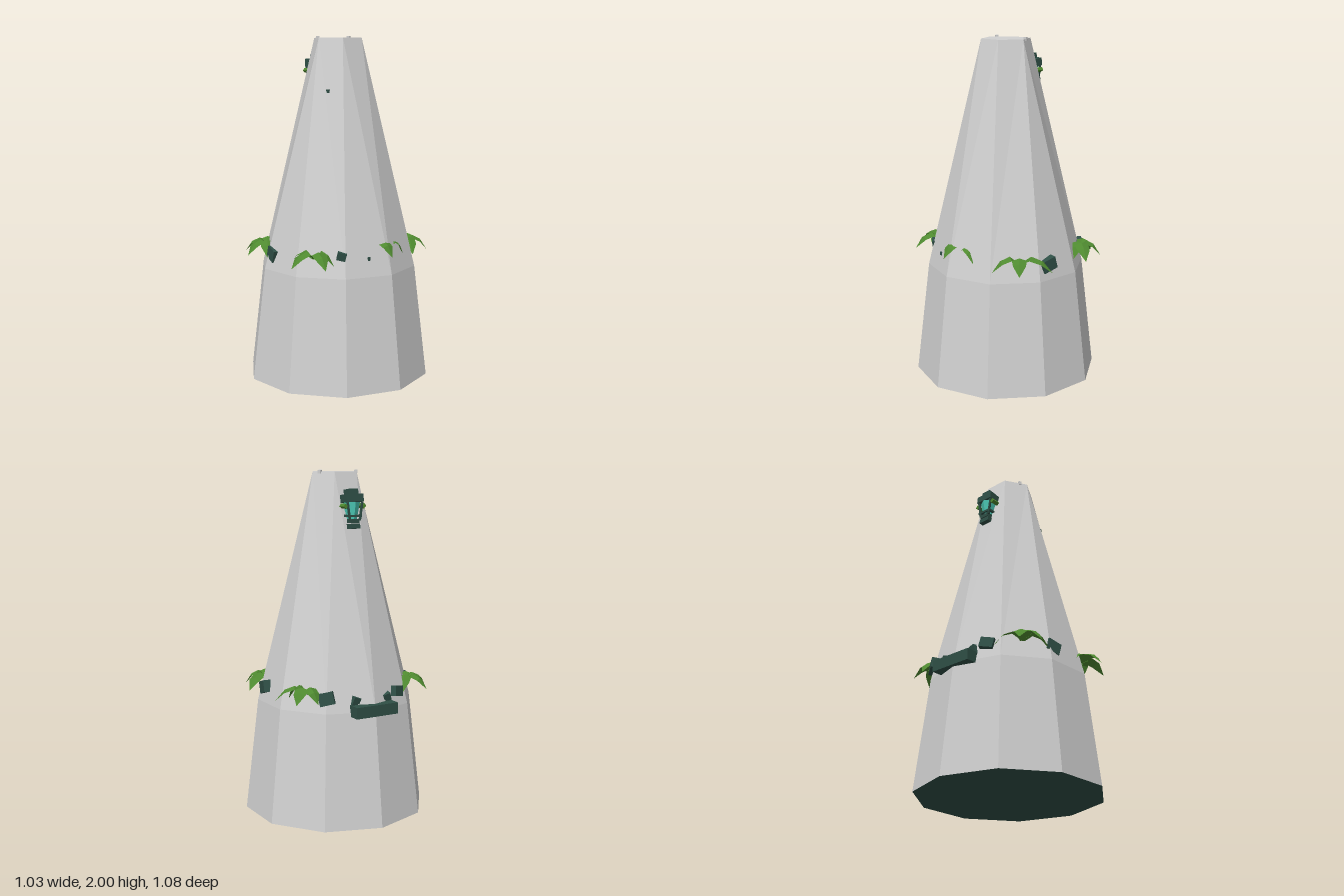
import * as THREE from 'three';

const mat = (name, color, side = THREE.FrontSide) => {
  const m = new THREE.MeshStandardMaterial({ color, flatShading: true, side });
  m.name = name;
  return m;
};

export function createModel() {
  const root = new THREE.Group();
  const stone = mat('pale stone', 0xd0d0d0);
  const dark = mat('dark green metal', 0x2f4f46);
  const glow = mat('teal glass', 0x4fd0bc);
  const leafMat = mat('leaf green', 0x4f8a30, THREE.DoubleSide);

  const add = (name, geo, material, pos = [0, 0, 0], rot = [0, 0, 0], parent = root) => {
    const m = new THREE.Mesh(geo, material);
    m.name = name;
    m.position.set(...pos);
    m.rotation.set(...rot);
    parent.add(m);
    return m;
  };
  const trisToGeo = (tris) => {
    const g = new THREE.BufferGeometry();
    g.setAttribute('position', new THREE.Float32BufferAttribute(tris.flatMap((v) => v.toArray()), 3));
    g.computeVertexNormals();
    return g;
  };
  const ring = (n, r, y, start) => Array.from({ length: n }, (_, i) => {
    const a = start + (i / n) * Math.PI * 2;
    return new THREE.Vector3(Math.sin(a) * r, y, Math.cos(a) * r);
  });

  // Tower: ten-sided lower wall narrowing to a six-sided top
  const foot = ring(10, 0.541, 0, 0);
  const waist = ring(10, 0.463, 0.66, 0);
  const crown = ring(6, 0.145, 1.99, Math.PI / 6);
  const lower = [], upper = [], lid = [], under = [];
  const apex = [0, 1, 1, 1, 2];
  for (let i = 0; i < 10; i++) {
    const j = (i + 1) % 10;
    const h = apex[i % 5] + (i >= 5 ? 3 : 0);
    lower.push(foot[i], foot[j], waist[j], foot[i], waist[j], waist[i]);
    upper.push(waist[i], waist[j], crown[h]);
    under.push(new THREE.Vector3(), foot[j], foot[i]);
  }
  [[0, 5, 0], [1, 0, 1], [4, 1, 2], [5, 2, 3], [6, 3, 4], [9, 4, 5]].forEach(([d, a, b]) =>
    upper.push(waist[d], crown[b], crown[a]));
  for (let i = 0; i < 6; i++) lid.push(new THREE.Vector3(0, 1.99, 0), crown[i], crown[(i + 1) % 6]);
  add('lowerWall', trisToGeo(lower), stone);
  add('upperWall', trisToGeo(upper), stone);
  add('topCap', trisToGeo(lid), stone);
  add('underside', trisToGeo(under), dark);
  for (const s of [-1, 1]) {
    add('topChip', new THREE.BoxGeometry(0.018, 0.02, 0.018), stone, [s * 0.12, 1.99, -0.04], [0, s * 0.6, 0]);
  }

  // Drooping folded leaves, from a base on the wall to a tip
  const rows = [[0, 0.765, 0.012], [0.35, 0.812, 0.042], [0.68, 0.79, 0.036], [1, 0.725, 0]];
  const leaf = (bx, bz, tx, tz, lift = 0, width = 1) => {
    const dir = new THREE.Vector2(tx - bx, tz - bz);
    const n = new THREE.Vector2(dir.y, -dir.x).normalize();
    const sec = rows.map(([t, y, w]) => [-1, 0, 1].map((s) => new THREE.Vector3(
      bx + dir.x * t + n.x * w * s * width, y + lift - Math.abs(s) * w * 0.35, bz + dir.y * t + n.y * w * s * width)));
    const tris = [];
    for (let i = 0; i < 3; i++) for (let k = 0; k < 2; k++) {
      const [a, b, c, d] = [sec[i][k], sec[i][k + 1], sec[i + 1][k + 1], sec[i + 1][k]];
      tris.push(a, b, c);
      if (i < 2) tris.push(a, c, d);
    }
    // Wind so that the upper face is the front
    const up = new THREE.Vector3().crossVectors(
      tris[1].clone().sub(tris[0]), tris[2].clone().sub(tris[0])).y;
    if (up < 0) for (let i = 0; i < tris.length; i += 3) [tris[i + 1], tris[i + 2]] = [tris[i + 2], tris[i + 1]];
    add('leaf', trisToGeo(tris), leafMat);
  };
  const clusters = [
    [-0.33, -0.26, [-0.41, -0.375], [-0.475, -0.26], [-0.425, -0.14], [-0.23, -0.385]],
    [0.345, -0.27, [0.33, -0.39], [0.445, -0.35], [0.49, -0.18], [0.4, -0.17]],
    [-0.36, 0.21, [-0.52, 0.2], [-0.41, 0.365], [-0.41, 0.07], [-0.3, 0.31]],
    [0.35, 0.22, [0.51, 0.115], [0.445, 0.31], [0.275, 0.36]],
  ];
  for (const [bx, bz, ...tips] of clusters) tips.forEach(([tx, tz]) => leaf(bx, bz, tx, tz));
  leaf(-0.005, 0.36, -0.01, 0.475, 0.04);
  leaf(0.04, 0.38, 0.155, 0.395, 0.03, 0.6);

  // Dark brackets poking out around the wall
  [[-0.185, 0.745, -0.385, 0.08, 0.06], [0.26, 0.745, -0.36, 0.085, 0.07], [-0.405, 0.75, -0.1, 0.085, 0.07],
    [0.425, 0.75, 0.07, 0.09, 0.07], [-0.26, 0.785, 0.325, 0.05, 0.045]].forEach(([x, y, z, w, h], i) =>
    add('bracket', new THREE.BoxGeometry(w, h, 0.05), dark, [x, y, z], [0.15, Math.atan2(x, z), i % 2 ? 0.15 : -0.15]));
  add('wallStud', new THREE.BoxGeometry(0.015, 0.02, 0.02), dark, [-0.12, 0.76, 0.395]);
  add('wallStud', new THREE.BoxGeometry(0.012, 0.02, 0.02), dark, [-0.163, 1.69, 0.1]);

  // Ledge on the back
  add('backLedge', new THREE.BoxGeometry(0.27, 0.065, 0.09), dark, [0.003, 0.672, -0.442]);
  for (const s of [-1, 1]) {
    add('ledgePost', new THREE.BoxGeometry(0.045, 0.06, 0.04), dark, [s * 0.105, 0.72, -0.405], [-0.2, 0, s * 0.3]);
  }

  // Lantern on the back, sunk partly into the wall
  const lantern = new THREE.Group();
  lantern.name = 'lantern';
  root.add(lantern);
  const part = (name, w, h, d, x, y, z, m = dark, rot = [0, 0, 0]) =>
    add(name, new THREE.BoxGeometry(w, h, d), m, [x, y, z], rot, lantern);
  part('lanternCap', 0.112, 0.045, 0.075, 0.002, 1.842, -0.197, dark, [0.12, 0, 0]);
  part('lanternCapTop', 0.06, 0.03, 0.06, 0.002, 1.878, -0.188, dark, [0.12, 0, 0]);
  const glass = new THREE.CylinderGeometry(0.05, 0.032, 0.1, 6);
  add('lanternGlass', glass, glow, [0.002, 1.772, -0.19], [0, 0, 0], lantern);
  part('lanternBand', 0.09, 0.012, 0.075, 0.002, 1.745, -0.196);
  for (const s of [-1, 1]) {
    part('lanternBar', 0.01, 0.105, 0.012, s * 0.04, 1.77, -0.228, dark, [0, 0, -s * 0.15]);
    part('lanternLeaf', 0.022, 0.02, 0.05, s * 0.06, 1.8, -0.205, leafMat, [0, 0, s * 0.6]);
  }
  part('lanternBase', 0.06, 0.022, 0.05, 0.002, 1.716, -0.208);
  part('lanternFoot', 0.07, 0.028, 0.05, 0.002, 1.685, -0.208, dark, [0.12, 0, 0]);

  return root;
}
